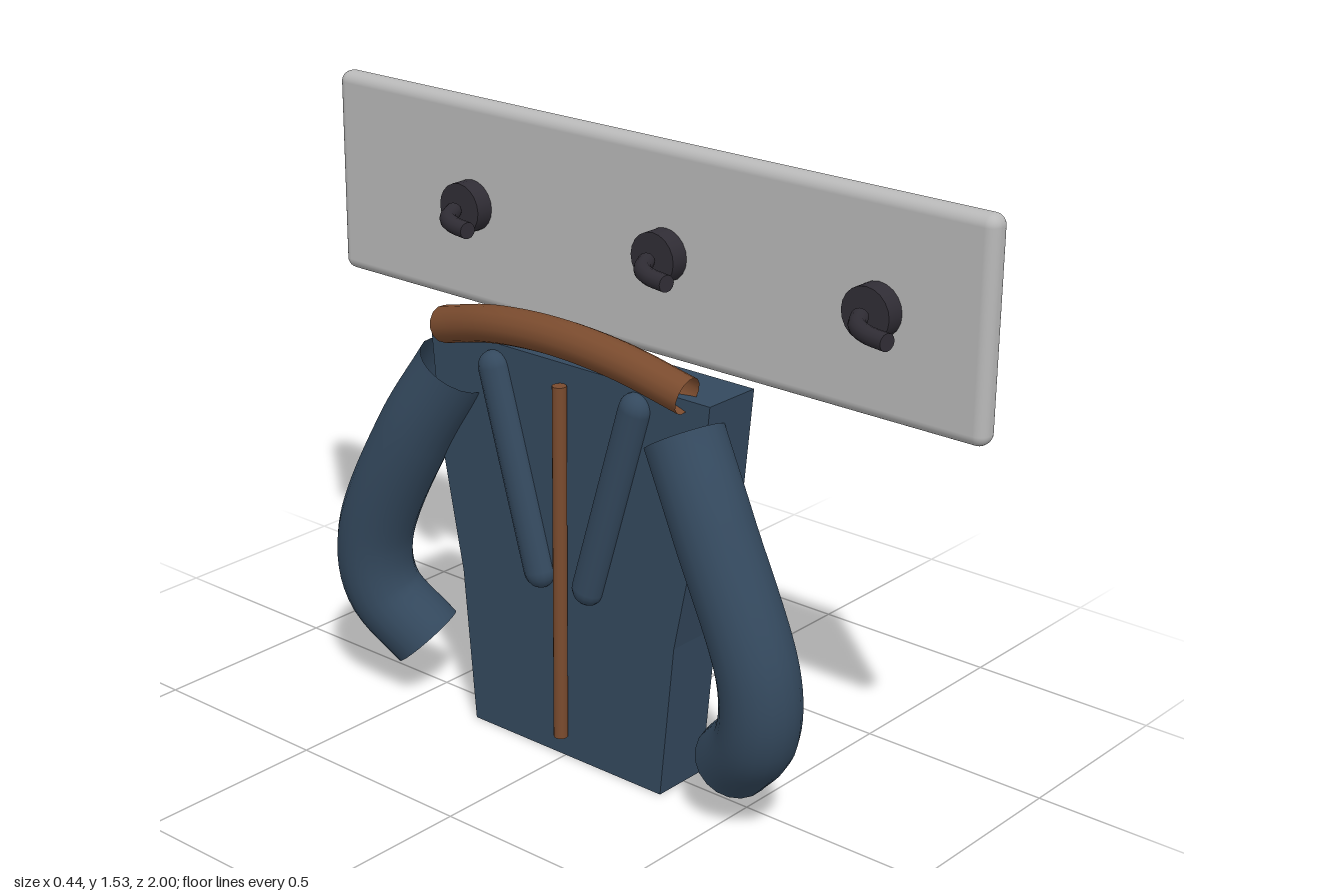
import * as THREE from 'three';
import { RoundedBoxGeometry } from 'three/addons/geometries/RoundedBoxGeometry.js';

const material = (name, color, side = THREE.FrontSide) => {
  const m = new THREE.MeshStandardMaterial({ color, side });
  m.name = name;
  return m;
};

export function createModel() {
  const model = new THREE.Group();
  model.name = 'coatRack';
  const grey = material('boardGrey', 0xb9b9b9);
  const black = material('hookBlack', 0x302d35);
  const blue = material('coatBlue', 0x34495e, THREE.DoubleSide);
  const brown = material('trimBrown', 0x7a4b2e, THREE.DoubleSide);

  const add = (name, geometry, mat, parent = model) => {
    const mesh = new THREE.Mesh(geometry, mat);
    mesh.name = name;
    parent.add(mesh);
    return mesh;
  };
  const tube = (points, radius, segments = 24, sides = 16) =>
    new THREE.TubeGeometry(
      new THREE.CatmullRomCurve3(points.map(p => new THREE.Vector3(...p))),
      segments, radius, sides);

  // Wall board
  add('board', new RoundedBoxGeometry(0.062, 0.528, 2, 4, 0.028), grey)
    .position.set(0.185, 1.262, 0);

  // Three hooks, each a round plate and a bent peg
  for (const z of [-0.525, 0.1, 0.71]) {
    const hook = new THREE.Group();
    hook.name = 'hook';
    hook.position.set(0, 1.26, z);
    const plate = new THREE.CylinderGeometry(0.065, 0.065, 0.05, 20);
    plate.rotateZ(Math.PI / 2);
    add('hookPlate', plate, black, hook).position.x = 0.13;
    const path = [[0.085, 0, 0], [0.03, 0, 0.035], [0, 0, 0.08], [-0.015, 0, 0.145]];
    add('hookPeg', tube(path, 0.021, 16, 12), black, hook);
    // Close both ends of the peg
    for (const [from, to] of [[1, 0], [2, 3]]) {
      const end = new THREE.Vector3(...path[to]);
      const cap = add('pegEnd', new THREE.CircleGeometry(0.021, 12), black, hook);
      cap.position.copy(end);
      const dir = end.clone().sub(new THREE.Vector3(...path[from])).normalize();
      cap.quaternion.setFromUnitVectors(new THREE.Vector3(0, 0, 1), dir);
    }
    model.add(hook);
  }

  // Coat body, tapering to the hem
  const outline = [[0.305, 0], [0.342, 0.4], [0.41, 0.74], [0.437, 1.03]];
  const shape = new THREE.Shape([
    ...outline.map(([z, y]) => new THREE.Vector2(z, y)),
    ...outline.map(([z, y]) => new THREE.Vector2(-z, y)).reverse(),
  ]);
  const body = new THREE.ExtrudeGeometry(shape, { depth: 0.16, bevelEnabled: false });
  body.rotateY(-Math.PI / 2);
  body.translate(0.07, 0, 0);
  add('coatBody', body, blue);

  // Sleeves and lapels, mirrored across the coat
  for (const s of [1, -1]) {
    add('sleeve', tube([
      [-0.085, 0.94, 0.36 * s], [-0.115, 0.75, 0.475 * s], [-0.125, 0.43, 0.62 * s],
      [-0.11, 0.28, 0.61 * s], [-0.06, 0.155, 0.505 * s],
    ], 0.097, 40, 20), blue);

    const top = new THREE.Vector3(-0.095, 1.0, 0.23 * s);
    const low = new THREE.Vector3(-0.095, 0.45, 0.07 * s);
    const dir = top.clone().sub(low);
    const lapel = add('lapel', new THREE.CapsuleGeometry(0.042, dir.length() - 0.06, 6, 14), blue);
    lapel.scale.x = 0.85;
    lapel.position.copy(top).add(low).multiplyScalar(0.5);
    lapel.quaternion.setFromUnitVectors(new THREE.Vector3(0, 1, 0), dir.normalize());
  }

  // Rolled collar and front placket
  add('collar', tube([
    [-0.1, 1.045, -0.38], [-0.118, 1.09, -0.2], [-0.123, 1.106, 0],
    [-0.118, 1.09, 0.2], [-0.1, 1.045, 0.38],
  ], 0.046, 28, 14), brown);
  add('placket', new THREE.CylinderGeometry(0.018, 0.018, 0.92, 12), brown)
    .position.set(-0.108, 0.52, 0);

  return model;
}
